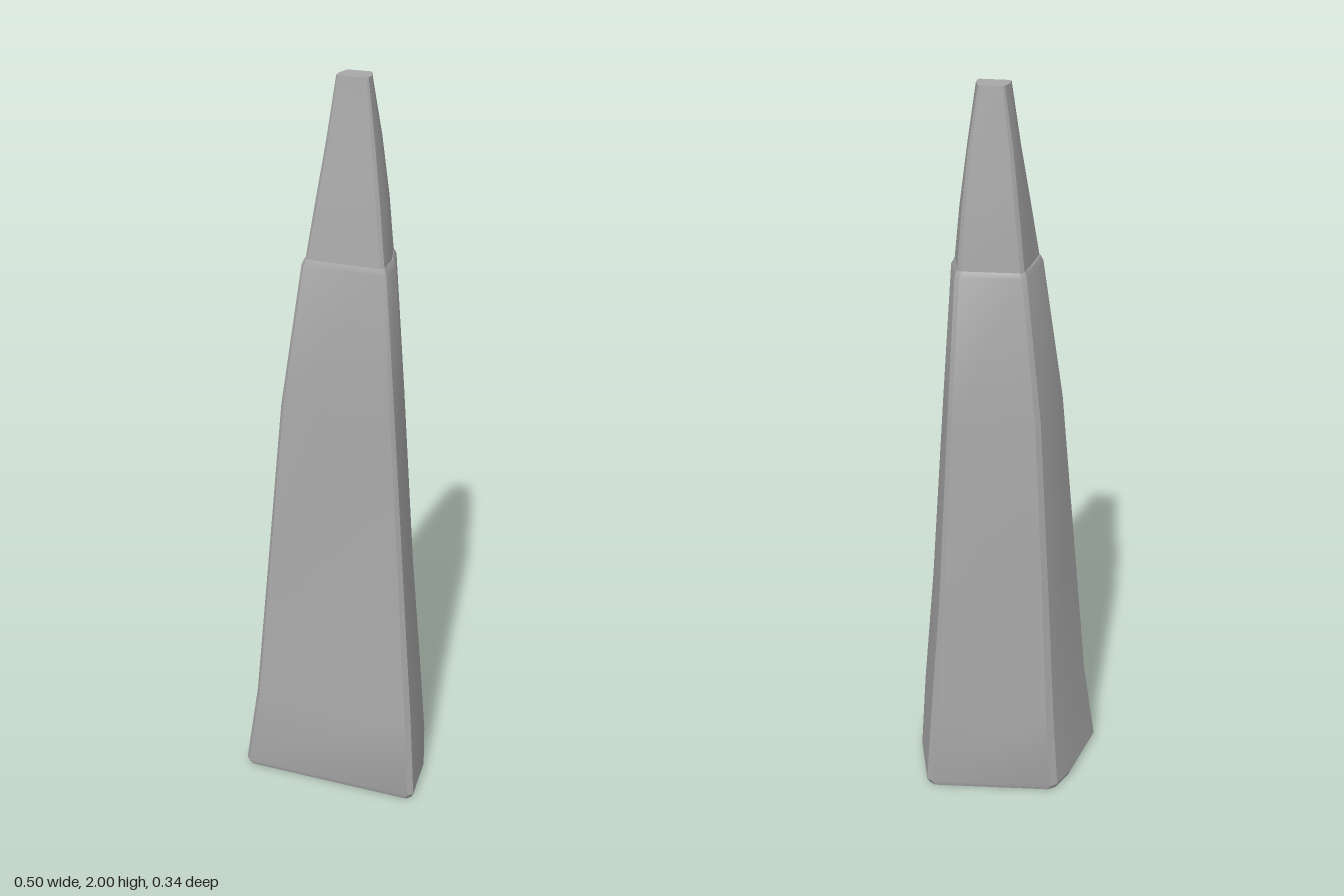
import * as THREE from 'three';
import { toCreasedNormals } from 'three/addons/utils/BufferGeometryUtils.js';

// Control points per ring: front -x, front +x, +x side, back +x, back -x, -x side
const CORNER = [true, true, false, true, true, false];

// Cut each true corner with a small chamfer
function chamferRing(points, y, cut) {
  const out = [];
  const n = points.length;
  points.forEach((p, i) => {
    const here = new THREE.Vector3(p[0], y, p[1]);
    if (!CORNER[i]) { out.push(here); return; }
    for (const j of [(i + n - 1) % n, (i + 1) % n]) {
      const dir = new THREE.Vector3(points[j][0], y, points[j][1]).sub(here).normalize();
      out.push(here.clone().addScaledVector(dir, cut));
    }
  });
  return out;
}

// Skin a stack of rings and close both ends
function loft(levels) {
  const rings = levels.map(([y, cut, pts]) => chamferRing(pts, y, cut));
  const n = rings[0].length;
  const positions = [];
  const tri = (...v) => v.forEach((p) => positions.push(p.x, p.y, p.z));
  for (let r = 0; r < rings.length - 1; r++) {
    for (let i = 0; i < n; i++) {
      const j = (i + 1) % n;
      tri(rings[r][i], rings[r][j], rings[r + 1][j]);
      tri(rings[r][i], rings[r + 1][j], rings[r + 1][i]);
    }
  }
  const mid = (ring) => ring.reduce((s, p) => s.add(p), new THREE.Vector3()).divideScalar(n);
  const low = rings[0], high = rings[rings.length - 1];
  const lowMid = mid(low), highMid = mid(high);
  for (let i = 0; i < n; i++) {
    const j = (i + 1) % n;
    tri(lowMid, low[j], low[i]);
    tri(highMid, high[i], high[j]);
  }
  const geometry = new THREE.BufferGeometry();
  geometry.setAttribute('position', new THREE.Float32BufferAttribute(positions, 3));
  return toCreasedNormals(geometry, Math.PI / 7);
}

// Shrink a ring about its rough centre for bevels
const inset = (pts, k) => pts.map(([x, z]) => [0.01 + (x - 0.01) * k, z * k]);

export function createModel() {
  const group = new THREE.Group();
  group.name = 'taperedSpire';
  const stone = new THREE.MeshStandardMaterial({ color: 0xa8a8a8 });
  stone.name = 'greyStone';

  // Broad lower shaft
  const base = [[-0.255, 0.152], [0.254, 0.17], [0.24, 0.01], [0.188, -0.173], [-0.172, -0.141], [-0.207, -0.06]];
  const rim = [[-0.098, 0.072], [0.132, 0.083], [0.133, 0], [0.105, -0.1], [-0.073, -0.09], [-0.088, -0.01]];
  const shaft = new THREE.Mesh(loft([
    [0.005, 0.014, inset(base, 0.97)],
    [0.02, 0.014, base],
    [0.25, 0.014, [[-0.224, 0.136], [0.236, 0.149], [0.225, 0.005], [0.172, -0.168], [-0.157, -0.129], [-0.188, -0.045]]],
    [0.6, 0.012, [[-0.195, 0.118], [0.206, 0.124], [0.195, 0.0], [0.147, -0.157], [-0.14, -0.116], [-0.168, -0.035]]],
    [1.13, 0.01, [[-0.151, 0.094], [0.165, 0.101], [0.16, 0], [0.124, -0.125], [-0.112, -0.102], [-0.14, -0.02]]],
    [1.522, 0.01, rim],
    [1.537, 0.01, inset(rim, 0.94)],
  ]), stone);
  shaft.name = 'lowerShaft';
  group.add(shaft);

  // Narrow tip rising from the shaft
  const tip = new THREE.Mesh(loft([
    [1.525, 0.008, [[-0.09, 0.067], [0.126, 0.075], [0.125, 0], [0.1, -0.094], [-0.068, -0.085], [-0.08, -0.01]]],
    [1.68, 0.008, [[-0.066, 0.052], [0.106, 0.054], [0.109, -0.005], [0.09, -0.084], [-0.052, -0.076], [-0.065, -0.012]]],
    [1.84, 0.007, [[-0.042, 0.031], [0.084, 0.031], [0.087, -0.012], [0.075, -0.066], [-0.035, -0.062], [-0.044, -0.015]]],
    [2, 0.004, [[-0.021, 0.013], [0.062, 0.013], [0.063, -0.015], [0.052, -0.049], [-0.012, -0.049], [-0.022, -0.015]]],
  ]), stone);
  tip.name = 'upperTip';
  group.add(tip);

  return group;
}
